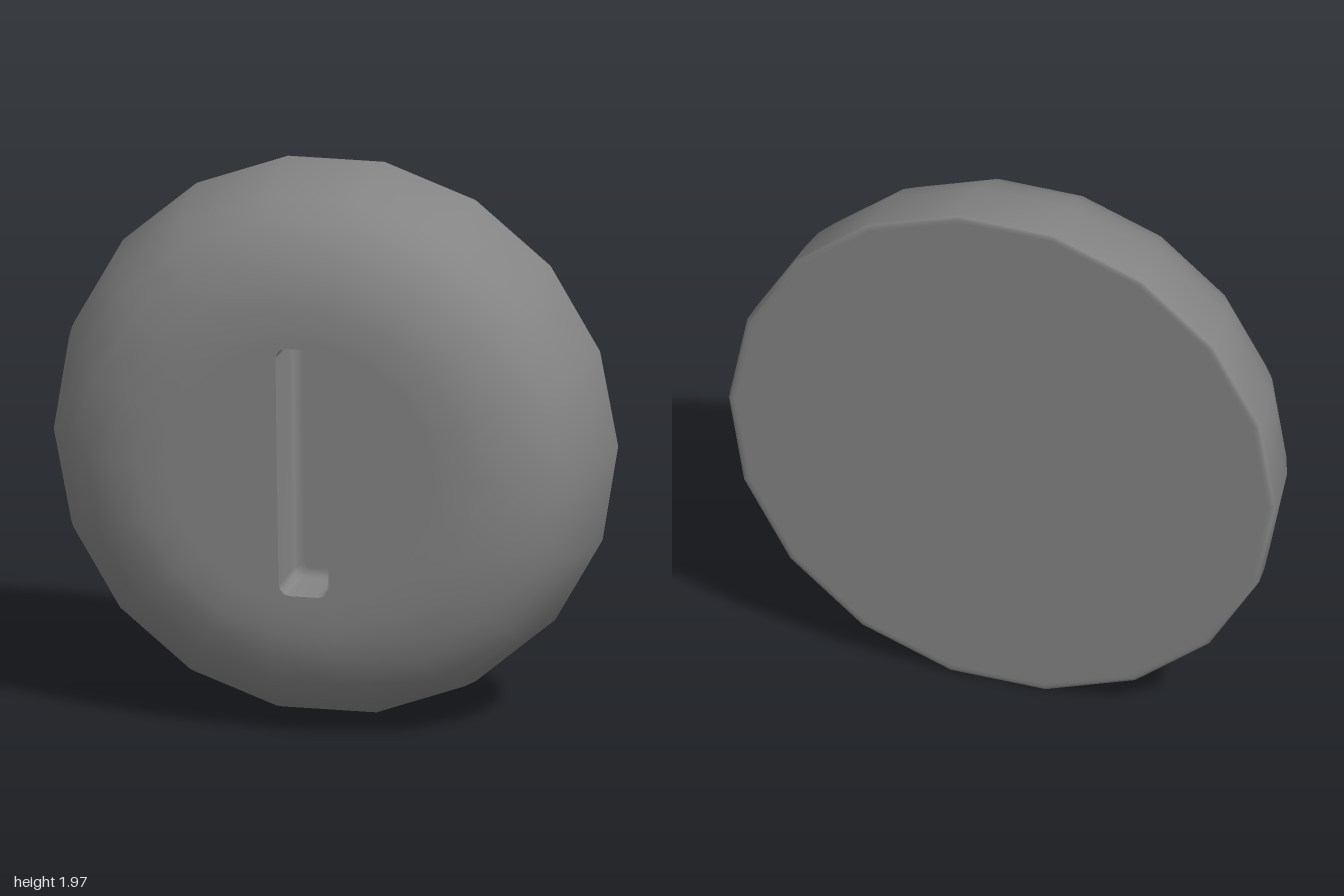
import * as THREE from 'three';

const SIDES = 18, FRONT = 0.27, BACK = -0.27, FLOOR = 0.07, RIM = 0.48, BACK_RADIUS = 0.972, FLOOR_INSET = 0.045;

// Outline of the slot with small rounded corners, counter-clockwise
function slotOutline(inset) {
  const w = 0.09 - inset, h = 0.45 - inset, r = 0.04 - inset / 2, steps = 3, pts = [];
  [[1, -1], [1, 1], [-1, 1], [-1, -1]].forEach(([sx, sy], q) => {
    for (let i = 0; i <= steps; i++) {
      const a = (q - 1 + i / steps) * Math.PI / 2;
      pts.push(new THREE.Vector2(sx * (w - r) + r * Math.cos(a), sy * (h - r) + r * Math.sin(a)));
    }
  });
  return pts;
}

// Inward-facing wall through stacked slot outlines, given as [inset, z] from front to floor
function slotWall(levels) {
  const pos = [], index = [], n = slotOutline(0).length;
  for (const [inset, z] of levels) for (const p of slotOutline(inset)) pos.push(p.x, p.y, z);
  for (let l = 0; l < levels.length - 1; l++) {
    for (let i = 0; i < n; i++) {
      const a = l * n + i, b = l * n + (i + 1) % n;
      index.push(a, b, a + n, b, b + n, a + n);
    }
  }
  const g = new THREE.BufferGeometry();
  g.setAttribute('position', new THREE.Float32BufferAttribute(pos, 3));
  g.setIndex(index);
  g.computeVertexNormals();
  return g;
}

export function createModel() {
  const model = new THREE.Group();
  model.name = 'slottedButton';
  const material = new THREE.MeshStandardMaterial({ color: 0x848484 });
  const add = (name, geometry) => {
    const mesh = new THREE.Mesh(geometry, material);
    mesh.name = name;
    model.add(mesh);
  };

  // Rounded side, from the softened back edge to the flat front
  const profile = [
    [BACK_RADIUS, BACK], [0.986, BACK], [0.997, -0.265], [1, -0.25],
    [0.993, -0.17], [0.975, -0.06], [0.94, 0.04], [0.885, 0.13], [0.80, 0.20],
    [0.69, 0.247], [0.6, 0.264], [0.52, FRONT], [RIM, FRONT],
  ].map(([r, z]) => new THREE.Vector2(r, z));
  add('roundedSide', new THREE.LatheGeometry(profile, SIDES, Math.PI / SIDES).rotateX(Math.PI / 2));

  // Flat back
  add('back', new THREE.CircleGeometry(BACK_RADIUS, SIDES).rotateY(Math.PI).translate(0, 0, BACK));

  // Flat front with the slot opening
  const face = new THREE.Shape(Array.from({ length: SIDES }, (_, i) => {
    const a = i * 2 * Math.PI / SIDES;
    return new THREE.Vector2(RIM * Math.cos(a), RIM * Math.sin(a));
  }));
  face.holes.push(new THREE.Path(slotOutline(0)));
  add('frontFace', new THREE.ShapeGeometry(face).translate(0, 0, FRONT));

  // Recessed slot, its wall curving softly into the floor
  add('slotWall', slotWall([
    [0, FRONT], [0.002, FRONT - 0.02], [0.004, FLOOR + 0.025],
    [0.012, FLOOR + 0.008], [0.03, FLOOR], [FLOOR_INSET, FLOOR],
  ]));
  add('slotFloor', new THREE.ShapeGeometry(new THREE.Shape(slotOutline(FLOOR_INSET))).translate(0, 0, FLOOR));

  // Slight turn about the disc's own axis
  model.rotation.z = 0.014;
  model.position.y = 0.993;
  return model;
}
